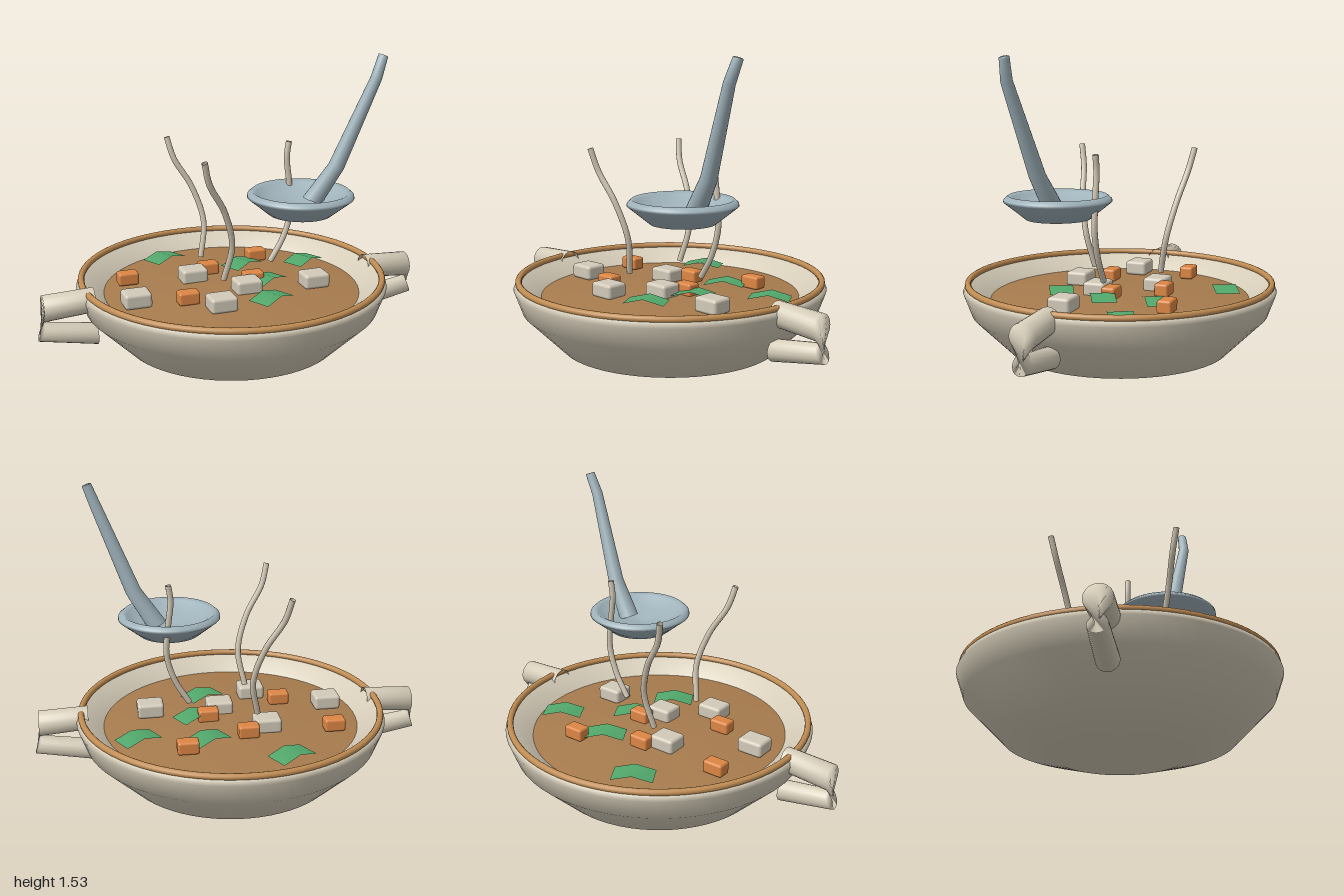
import * as THREE from 'three';
import { RoundedBoxGeometry } from 'three/addons/geometries/RoundedBoxGeometry.js';

const material = (name, color, side = THREE.FrontSide) => {
  const m = new THREE.MeshStandardMaterial({ color, side });
  m.name = name;
  return m;
};

const v = (x, y, z) => new THREE.Vector3(x, y, z);

// Smooth lathe from [radius, height] pairs
const lathe = (points) =>
  new THREE.LatheGeometry(points.map(([r, y]) => new THREE.Vector2(r, y)), 64);

// Skin over a list of rings; ring(i, angle) gives a point
function loft(count, ring, sides = 20) {
  const pos = [], index = [];
  for (let i = 0; i < count; i++) {
    for (let j = 0; j < sides; j++) {
      pos.push(...ring(i, (j / sides) * Math.PI * 2).toArray());
      if (i === count - 1) continue;
      const a = i * sides + j, b = i * sides + ((j + 1) % sides);
      index.push(a, a + sides, b, b, a + sides, b + sides);
    }
  }
  const g = new THREE.BufferGeometry();
  g.setAttribute('position', new THREE.Float32BufferAttribute(pos, 3));
  g.setIndex(index);
  g.computeVertexNormals();
  return g;
}

export function createModel() {
  const model = new THREE.Group();
  model.name = 'soupBowl';

  const cream = material('creamCeramic', 0xd6cdb9, THREE.DoubleSide);
  const tan = material('tanGlaze', 0xc08c52);
  const broth = material('brownBroth', 0xa87c4e);
  const steel = material('blueGreySteel', 0xa0b3bb, THREE.DoubleSide);
  const orange = material('orangeCarrot', 0xdd8644);
  const white = material('paleTofu', 0xd2cab9);
  const green = material('greenLeaf', 0x52a86c, THREE.DoubleSide);
  const vapour = material('paleSteam', 0xcfc5b2, THREE.DoubleSide);

  const add = (name, geometry, mat, x = 0, y = 0, z = 0, parent = model) => {
    const mesh = new THREE.Mesh(geometry, mat);
    mesh.name = name;
    mesh.position.set(x, y, z);
    parent.add(mesh);
    return mesh;
  };

  // Bowl, outside then over the lip and down the inside
  add('bowl', lathe([
    [0, 0.005], [0.31, 0.015], [0.55, 0.09], [0.74, 0.28], [0.78, 0.39],
    [0.77, 0.415], [0.745, 0.415], [0.645, 0.345], [0.55, 0.25],
  ]), cream);

  // Glazed rim
  const rim = add('rim', new THREE.TorusGeometry(0.755, 0.016, 12, 72), tan, 0, 0.425, 0);
  rim.rotation.x = Math.PI / 2;

  // Slightly domed soup
  add('soup', lathe([[0.65, 0.3], [0.65, 0.345], [0, 0.362]]), broth);

  // Side handles: two stubs joined by a twisted strap
  // x, y, radius, lean, twist direction
  const handleRings = [
    [0.72, 0.39, 0.06, 0, -1], [0.965, 0.375, 0.064, 0, -1],
    [0.972, 0.26, 0.045, 0.45, 1], [0.71, 0.215, 0.053, 0, 1],
  ];
  const handleGeometry = loft(handleRings.length, (i, a) => {
    const [x, y, r, lean, dir] = handleRings[i];
    return v(x - lean * r * Math.cos(a), y + r * Math.cos(a), dir * r * Math.sin(a));
  });
  add('leftHandle', handleGeometry, cream, 0, 0, 0.05);
  add('rightHandle', handleGeometry, cream, 0, 0, 0.05).rotation.y = Math.PI;

  // Ladle: shallow dish and tapering bent handle
  const ladle = new THREE.Group();
  ladle.name = 'ladle';
  model.add(ladle);
  add('ladleDish', lathe([
    [0, 0.757], [0.155, 0.765], [0.26, 0.85], [0.258, 0.862], [0.237, 0.88],
    [0.215, 0.868], [0.15, 0.825], [0, 0.805],
  ]), steel, 0.283, 0, 0.205, ladle);
  const ladleRings = [
    [0.35, 0.82, 0.195, 0.05], [0.46, 0.99, 0.225, 0.04], [0.627, 1.42, 0.285, 0.028],
    [0.665, 1.525, 0.275, 0.024], [0.665, 1.526, 0.275, 0.001],
  ];
  add('ladleHandle', loft(ladleRings.length, (i, a) => {
    const [x, y, z, r] = ladleRings[i];
    return v(x + 0.92 * r * Math.cos(a), y - 0.35 * r * Math.cos(a), z + r * Math.sin(a));
  }), steel, 0, 0, 0, ladle);

  // Steam wisps
  const steam = (name, points) => add(name,
    new THREE.TubeGeometry(new THREE.CatmullRomCurve3(points), 32, 0.015, 10), vapour);
  for (const s of [1, -1]) {
    steam(s > 0 ? 'frontSteam' : 'backSteam', [
      v(-0.105, 0.46, 0.18 * s), v(-0.075, 0.64, 0.218 * s), v(-0.125, 0.82, 0.256 * s),
      v(-0.21, 0.97, 0.287 * s), v(-0.24, 1.08, 0.31 * s),
    ]);
  }
  steam('sideSteam', [
    v(0.21, 0.46, 0), v(0.28, 0.58, 0), v(0.32, 0.72, 0),
    v(0.31, 0.87, 0), v(0.295, 1.0, 0), v(0.305, 1.08, 0),
  ]);

  // Tofu cubes
  const tofu = new RoundedBoxGeometry(0.135, 0.075, 0.115, 3, 0.016);
  [[-0.16, -0.145], [-0.52, 0.09], [0.045, 0.1], [-0.15, 0.28], [0.4, 0.126]]
    .forEach(([x, z]) => add('tofuCube', tofu, white, x, 0.385, z));

  // Carrot pieces
  const carrot = new RoundedBoxGeometry(0.105, 0.065, 0.072, 3, 0.012);
  [[-0.49, -0.205], [-0.055, -0.215], [0.26, -0.34], [0.115, 0], [-0.28, 0.16]]
    .forEach(([x, z]) => add('carrotPiece', carrot, orange, x, 0.385, z));

  // Creased leaves, raised along the middle
  const leaf = new THREE.PlaneGeometry(0.2, 0.12, 2, 1).rotateX(-Math.PI / 2);
  const p = leaf.attributes.position;
  for (let i = 0; i < p.count; i++) p.setY(i, Math.abs(p.getX(i)) < 0.01 ? 0.025 : 0);
  leaf.computeVertexNormals();
  [[-0.215, -0.48], [0.15, -0.25], [0.485, -0.195], [0.18, 0.02], [0.11, 0.275]]
    .forEach(([x, z]) => { add('leaf', leaf, green, x, 0.37, z).rotation.y = 0.5; });

  return model;
}
